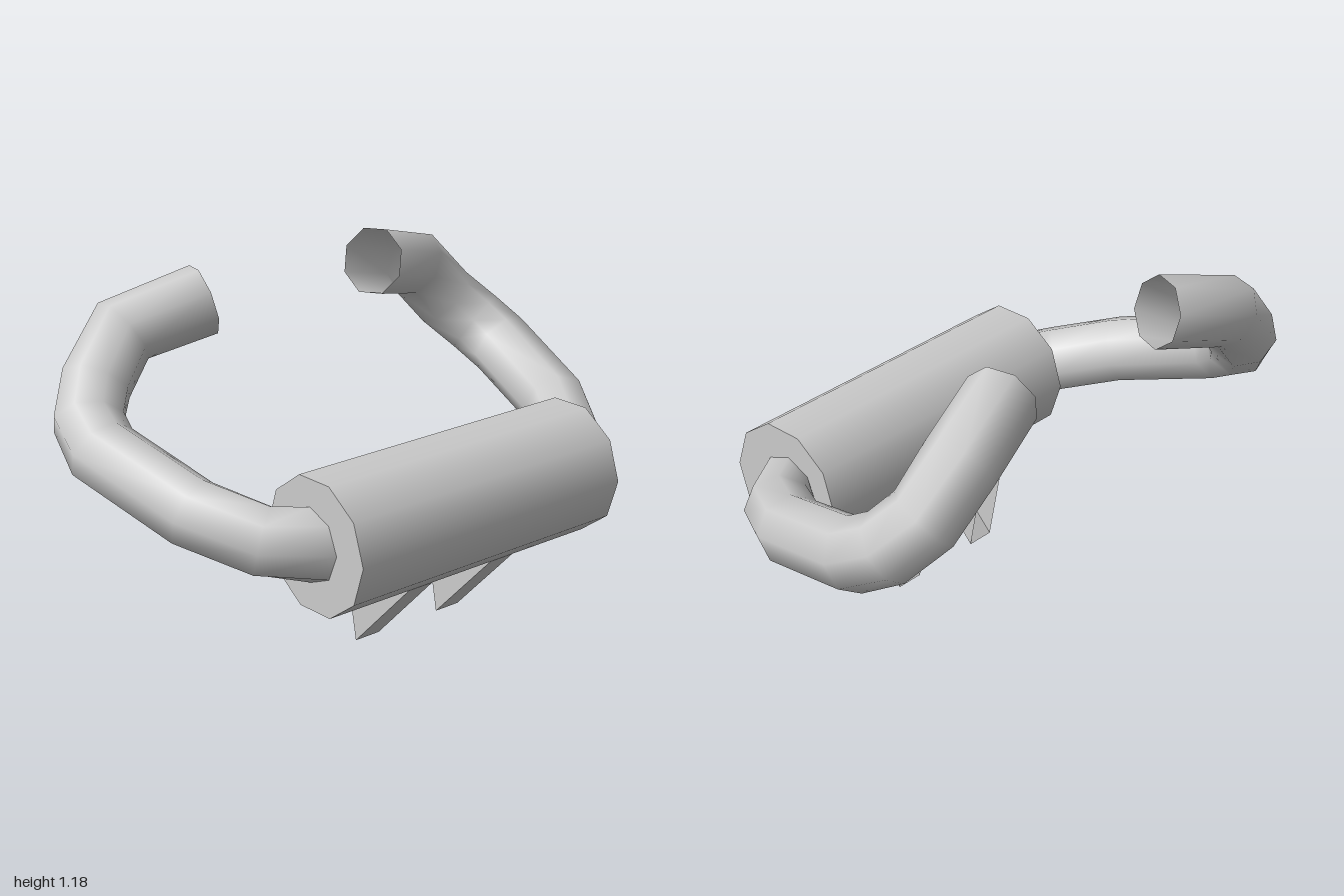
import * as THREE from 'three';

const material = new THREE.MeshStandardMaterial({ color: 0xcccccc, side: THREE.DoubleSide });

const drumY = 0.485, drumZ = 0.385;

// Pipe centre line on the +x side, with the radius of each ring
const pipePath = [
  [0.56, 0.485, 0.365, 0.126],
  [0.68, 0.505, 0.28, 0.118],
  [0.80, 0.57, 0.085, 0.118],
  [0.88, 0.69, -0.28, 0.12],
  [0.855, 0.755, -0.39, 0.12],
  [0.77, 0.85, -0.465, 0.12],
  [0.64, 0.995, -0.49, 0.122],
  [0.37, 1.068, -0.41, 0.122],
];

// Open eight-sided pipe swept along the centre line
function pipeGeometry(side, sides = 8) {
  const pts = pipePath.map(([x, y, z]) => new THREE.Vector3(side * x, y, z));
  const last = pts.length - 1;
  const dir = i => pts[i + 1].clone().sub(pts[i]).normalize();
  const up = new THREE.Vector3(0, 1, 0);
  const positions = [], index = [];
  pts.forEach((p, i) => {
    const t = i === 0 ? new THREE.Vector3(side, 0, 0)
      : i === last ? dir(i - 1)
      : dir(i - 1).add(dir(i)).normalize();
    // carry the ring's up vector along the path without twist
    up.addScaledVector(t, -up.dot(t)).normalize();
    const across = t.clone().cross(up);
    for (let j = 0; j < sides; j++) {
      const a = (j / sides) * Math.PI * 2, r = pipePath[i][3];
      const v = p.clone().addScaledVector(up, r * Math.cos(a)).addScaledVector(across, r * Math.sin(a));
      positions.push(v.x, v.y, v.z);
      if (i < last) {
        const k = (j + 1) % sides;
        const a0 = i * sides + j, b0 = i * sides + k;
        index.push(a0, b0, a0 + sides, b0, b0 + sides, a0 + sides);
      }
    }
  });
  const g = new THREE.BufferGeometry();
  g.setAttribute('position', new THREE.Float32BufferAttribute(positions, 3));
  g.setIndex(index);
  g.computeVertexNormals();
  return g;
}

// Thin sheet bracket, open at the back: two cheeks, a sloping front and a top ledge
function bracketGeometry(width) {
  const profile = [[0, 0.195], [0.35, 0.13], [0.46, 0.22], [0.27, 0.46]]; // y, z
  const h = width / 2;
  const R = profile.map(([y, z]) => [-h, y, z]);
  const L = profile.map(([y, z]) => [h, y, z]);
  const quads = [
    [L[0], L[1], L[2], L[3]].reverse(), // left cheek
    [R[0], R[1], R[2], R[3]],           // right cheek
    [R[0], L[0], L[3], R[3]],           // sloping front
    [R[2], L[2], L[1], R[1]],           // top ledge
  ];
  const positions = quads.flatMap(([a, b, c, d]) => [a, b, c, a, c, d].flat());
  const g = new THREE.BufferGeometry();
  g.setAttribute('position', new THREE.Float32BufferAttribute(positions, 3));
  g.computeVertexNormals();
  return g;
}

export function createModel() {
  const model = new THREE.Group();
  const add = (name, geometry) => {
    const mesh = new THREE.Mesh(geometry, material);
    mesh.name = name;
    model.add(mesh);
    return mesh;
  };

  // Ten-sided drum lying across the front
  const drum = new THREE.CylinderGeometry(0.23, 0.23, 1.12, 10);
  drum.rotateZ(Math.PI / 2);
  add('drum', drum).position.set(0, drumY, drumZ);

  // Pipes and brackets, one per side
  for (const [label, side] of [['left', 1], ['right', -1]]) {
    add(label + 'Pipe', pipeGeometry(side));
    add(label + 'Bracket', bracketGeometry(0.1)).position.x = side * 0.18;
  }
  return model;
}
